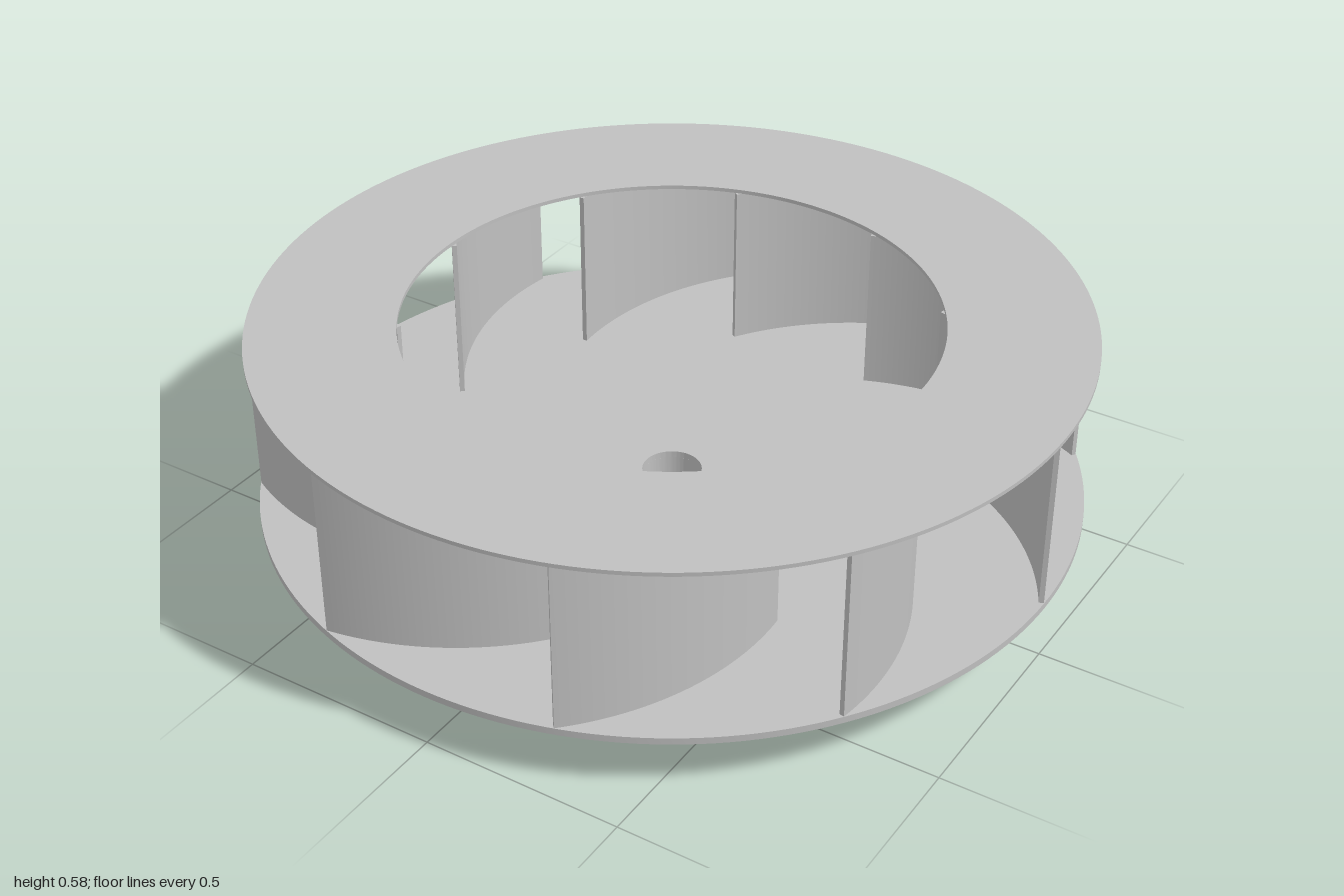
import * as THREE from 'three';
import { toCreasedNormals } from 'three/addons/utils/BufferGeometryUtils.js';

const BLADES = 10;
const OUTER = 1, INNER = 0.645, BORE = 0.073;

const metal = new THREE.MeshStandardMaterial({ color: 0xc0c0c0 });
metal.name = 'grey metal';

// Extrude a plan shape (shape y = -z) upwards from y0 to y1
function slab(name, shape, y0, y1, curveSegments) {
  const extruded = new THREE.ExtrudeGeometry(shape, { depth: y1 - y0, bevelEnabled: false, curveSegments });
  extruded.rotateX(-Math.PI / 2);
  extruded.translate(0, y0, 0);
  const mesh = new THREE.Mesh(toCreasedNormals(extruded, Math.PI / 6), metal);
  mesh.name = name;
  return mesh;
}

function ring(outer, inner) {
  const shape = new THREE.Shape();
  shape.absarc(0, 0, outer, 0, Math.PI * 2, false);
  const hole = new THREE.Path();
  hole.absarc(0, 0, inner, 0, Math.PI * 2, true);
  shape.holes.push(hole);
  return shape;
}

// Thin arc from the rim to the inlet radius, swept back by one blade pitch
function bladeShape() {
  const radius = 0.72, thickness = 0.012;
  const pitch = Math.PI * 2 / BLADES;
  const tip = new THREE.Vector2(OUTER - 0.001, 0);
  const root = new THREE.Vector2(Math.cos(pitch), Math.sin(pitch)).multiplyScalar(INNER);
  const chord = root.clone().sub(tip);
  const half = chord.length() / 2;
  const outward = new THREE.Vector2(chord.y, -chord.x).normalize();
  const centre = tip.clone().add(root).multiplyScalar(0.5)
    .addScaledVector(outward, -Math.sqrt(radius * radius - half * half));
  const a0 = tip.clone().sub(centre).angle();
  const a1 = root.clone().sub(centre).angle();
  const shape = new THREE.Shape();
  shape.absarc(centre.x, centre.y, radius, a0, a1, false);
  shape.absarc(centre.x, centre.y, radius - thickness, a1, a0, true);
  shape.closePath();
  return shape;
}

export function createModel() {
  const model = new THREE.Group();
  model.name = 'impeller';

  // Hub, back plate and open shroud ring
  model.add(slab('hub', ring(0.158, BORE), 0, 0.13, 48));
  model.add(slab('backPlate', ring(OUTER, BORE), 0.13, 0.147, 96));
  model.add(slab('shroudRing', ring(OUTER, INNER), 0.574, 0.584, 96));

  // Curved blades
  const blades = new THREE.Group();
  blades.name = 'blades';
  const first = slab('blade', bladeShape(), 0.147, 0.574, 24);
  for (let i = 0; i < BLADES; i++) {
    const blade = first.clone();
    blade.rotation.y = i * Math.PI * 2 / BLADES;
    blades.add(blade);
  }
  model.add(blades);

  return model;
}
